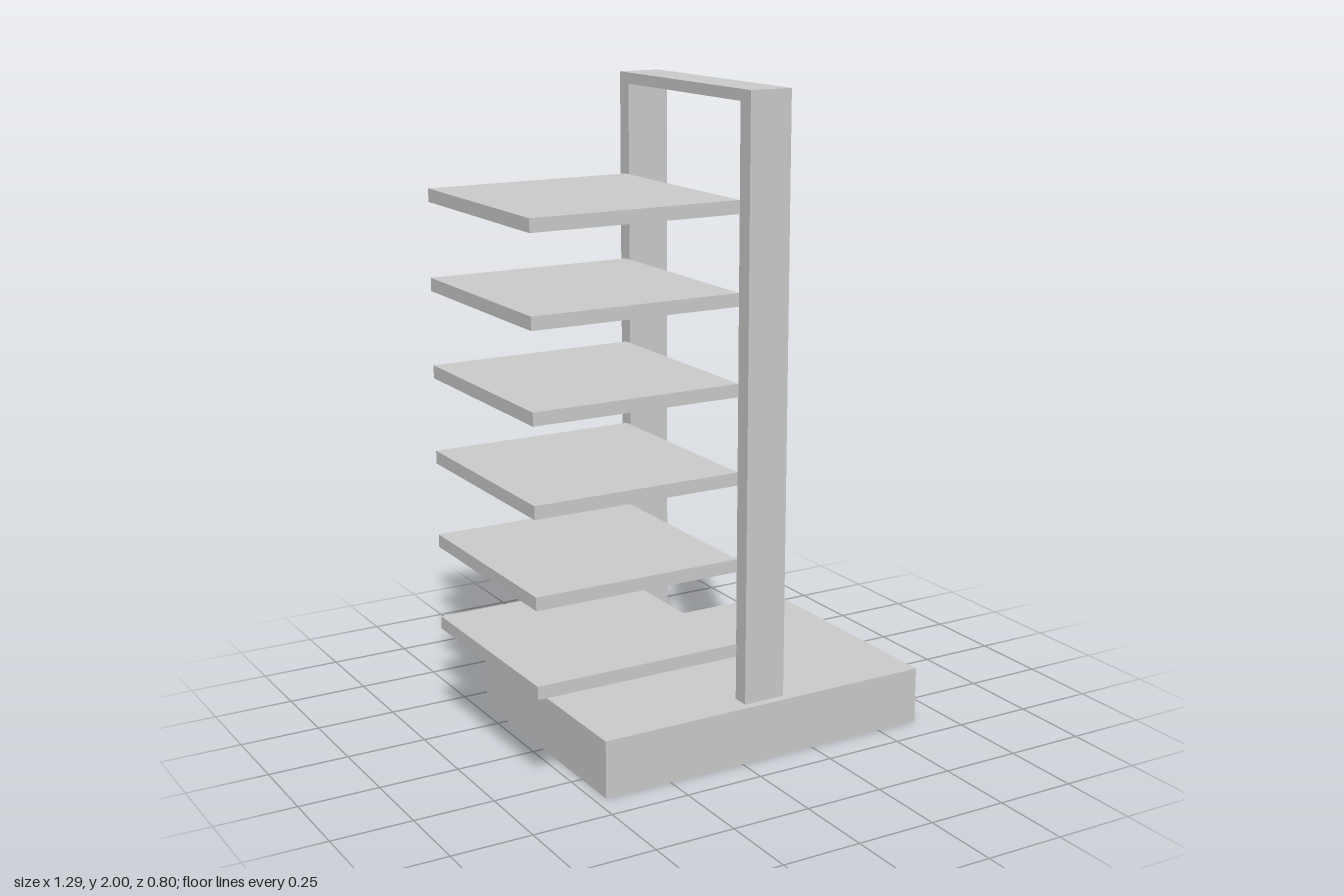
import * as THREE from 'three';

export function createModel() {
  const model = new THREE.Group();
  model.name = 'shelfStand';
  const material = new THREE.MeshStandardMaterial({ color: 0xcccccc, flatShading: true });

  // Box given by its lower and upper limits on each axis
  function addBox(name, [x0, x1], [y0, y1], [z0, z1]) {
    const mesh = new THREE.Mesh(new THREE.BoxGeometry(x1 - x0, y1 - y0, z1 - z0), material);
    mesh.position.set((x0 + x1) / 2, (y0 + y1) / 2, (z0 + z1) / 2);
    mesh.name = name;
    model.add(mesh);
  }

  // Heavy base slab
  const baseTop = 0.177;
  addBox('base', [-0.465, 0.642], [0, baseTop], [-0.4, 0.4]);

  // Upright frame: two posts joined by a top rail, one solid arch
  const outer = 0.374, inner = 0.321, top = 2, railBottom = 1.966;
  const arch = new THREE.Shape([
    [-outer, baseTop], [-inner, baseTop], [-inner, railBottom], [inner, railBottom],
    [inner, baseTop], [outer, baseTop], [outer, top], [-outer, top],
  ].map(([z, y]) => new THREE.Vector2(z, y)));
  const frameGeometry = new THREE.ExtrudeGeometry(arch, { depth: 0.136, bevelEnabled: false });
  frameGeometry.rotateY(Math.PI / 2);
  const frame = new THREE.Mesh(frameGeometry, material);
  frame.position.x = 0.024;
  frame.name = 'uprightFrame';
  model.add(frame);

  // Six evenly spaced shelves beside the frame
  for (let i = 0; i < 6; i++) {
    const y = 0.338 + i * 0.2664;
    addBox(`shelf${i + 1}`, [-0.645, 0.017], [y - 0.02, y + 0.02], [-0.333, 0.333]);
  }

  return model;
}
